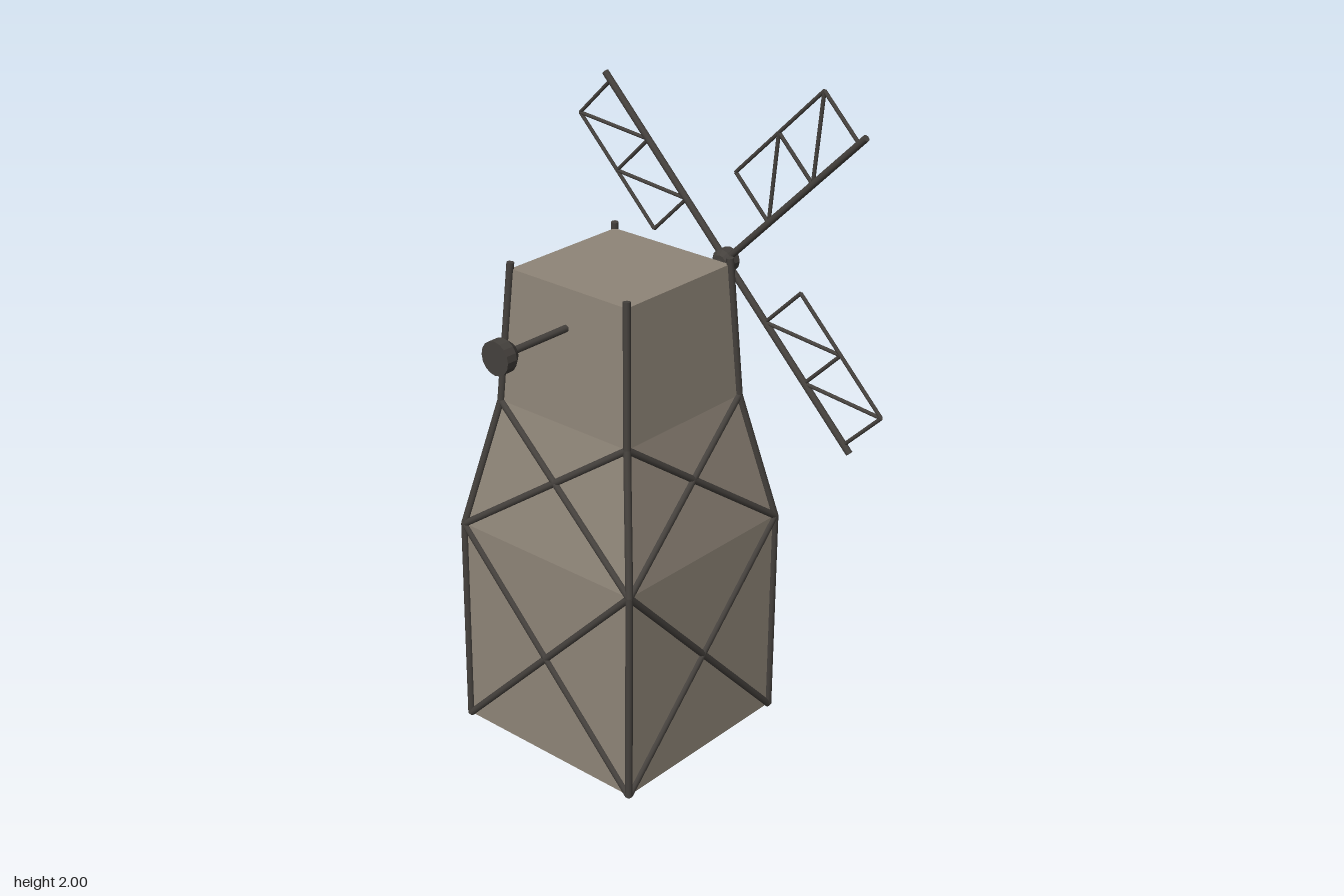
import * as THREE from 'three';

export function createModel() {
  const model = new THREE.Group();
  model.name = 'windmill';
  const wall = new THREE.MeshStandardMaterial({ color: 0x8f8578, flatShading: true });
  wall.name = 'weathered wall';
  const timber = new THREE.MeshStandardMaterial({ color: 0x45413d });
  timber.name = 'dark timber';

  const V = (x, y, z) => new THREE.Vector3(x, y, z);
  const UP = V(0, 1, 0);

  // Round beam between two points
  function beam(parent, name, a, b, radius) {
    const dir = b.clone().sub(a);
    const mesh = new THREE.Mesh(new THREE.CylinderGeometry(radius, radius, dir.length(), 10), timber);
    mesh.position.copy(a).add(b).multiplyScalar(0.5);
    mesh.quaternion.setFromUnitVectors(UP, dir.normalize());
    mesh.name = name;
    parent.add(mesh);
  }

  // Half width and height of each level of the tower
  const levels = [[0.334, 0.008], [0.334, 0.69], [0.249, 1.1], [0.223, 1.515]];

  const tower = new THREE.Group();
  tower.name = 'tower';
  tower.position.x = 0.004;
  model.add(tower);

  // Square tower shell with floor and roof
  const profile = [
    new THREE.Vector2(0, levels[0][1]),
    ...levels.map(([w, y]) => new THREE.Vector2(w * Math.SQRT2, y)),
    new THREE.Vector2(0, levels[3][1]),
  ];
  const shell = new THREE.Mesh(new THREE.LatheGeometry(profile, 4, Math.PI / 4), wall);
  shell.name = 'towerShell';
  tower.add(shell);

  // Corner posts and cross braces, repeated on all four sides
  for (let i = 0; i < 4; i++) {
    const side = new THREE.Group();
    side.name = 'sideFrame' + (i + 1);
    side.rotation.y = i * Math.PI / 2;
    for (let k = 0; k < 3; k++) {
      const [w0, y0] = levels[k];
      const [w1, y1] = levels[k + 1];
      const top = k === 2 ? y1 + 0.02 : y1;
      beam(side, 'cornerPost', V(w0, y0, w0), V(w1, top, w1), 0.0115);
      const joint = new THREE.Mesh(new THREE.SphereGeometry(0.0115, 10, 6), timber);
      joint.position.set(w0, y0 + (k ? 0 : 0.004), w0);
      joint.name = 'postJoint';
      side.add(joint);
      if (k < 2) {
        for (const s of [-1, 1]) {
          beam(side, 'crossBrace', V(-s * w0, y0, w0), V(s * w1, y1, w1), 0.011);
        }
      }
    }
    tower.add(side);
  }

  // Axle stubs
  const axleY = 1.395;
  beam(model, 'sailAxle', V(0.228, axleY, 0), V(0.485, axleY, 0), 0.011);
  beam(model, 'weightAxle', V(-0.222, axleY, 0), V(-0.47, axleY, 0), 0.011);

  // Turned part along x, given as [x, radius] with x increasing
  function turned(name, points, segments) {
    const geo = new THREE.LatheGeometry(points.map(([x, r]) => new THREE.Vector2(r, x)), segments);
    geo.rotateZ(-Math.PI / 2);
    const flat = geo.toNonIndexed();
    flat.computeVertexNormals();
    const mesh = new THREE.Mesh(flat, timber);
    mesh.position.y = axleY;
    mesh.name = name;
    model.add(mesh);
  }
  turned('counterweight', [[-0.51, 0], [-0.51, 0.051], [-0.475, 0.051], [-0.45, 0.032], [-0.45, 0]], 16);
  turned('sailHub', [[0.455, 0], [0.455, 0.024], [0.468, 0.039], [0.505, 0.039], [0.505, 0]], 12);

  // Four lattice sails
  const sails = new THREE.Group();
  sails.name = 'sails';
  sails.position.set(0.485, axleY, 0);
  model.add(sails);
  const inner = 0.226, middle = 0.447, outer = 0.668, depth = -0.183;
  for (let i = 0; i < 4; i++) {
    const sail = new THREE.Group();
    sail.name = 'sail' + (i + 1);
    sail.rotation.x = Math.PI / 4 + i * Math.PI / 2;
    beam(sail, 'sailArm', V(0, 0, 0), V(0, 0.7, 0), 0.011);
    beam(sail, 'sailEdge', V(0, inner, depth), V(0, outer, depth), 0.006);
    for (const y of [inner, middle, outer]) {
      beam(sail, 'sailRung', V(0, y, 0), V(0, y, depth), 0.006);
    }
    beam(sail, 'sailDiagonal', V(0, inner, 0), V(0, middle, depth), 0.006);
    beam(sail, 'sailDiagonal', V(0, middle, 0), V(0, outer, depth), 0.006);
    sails.add(sail);
  }
  return model;
}
